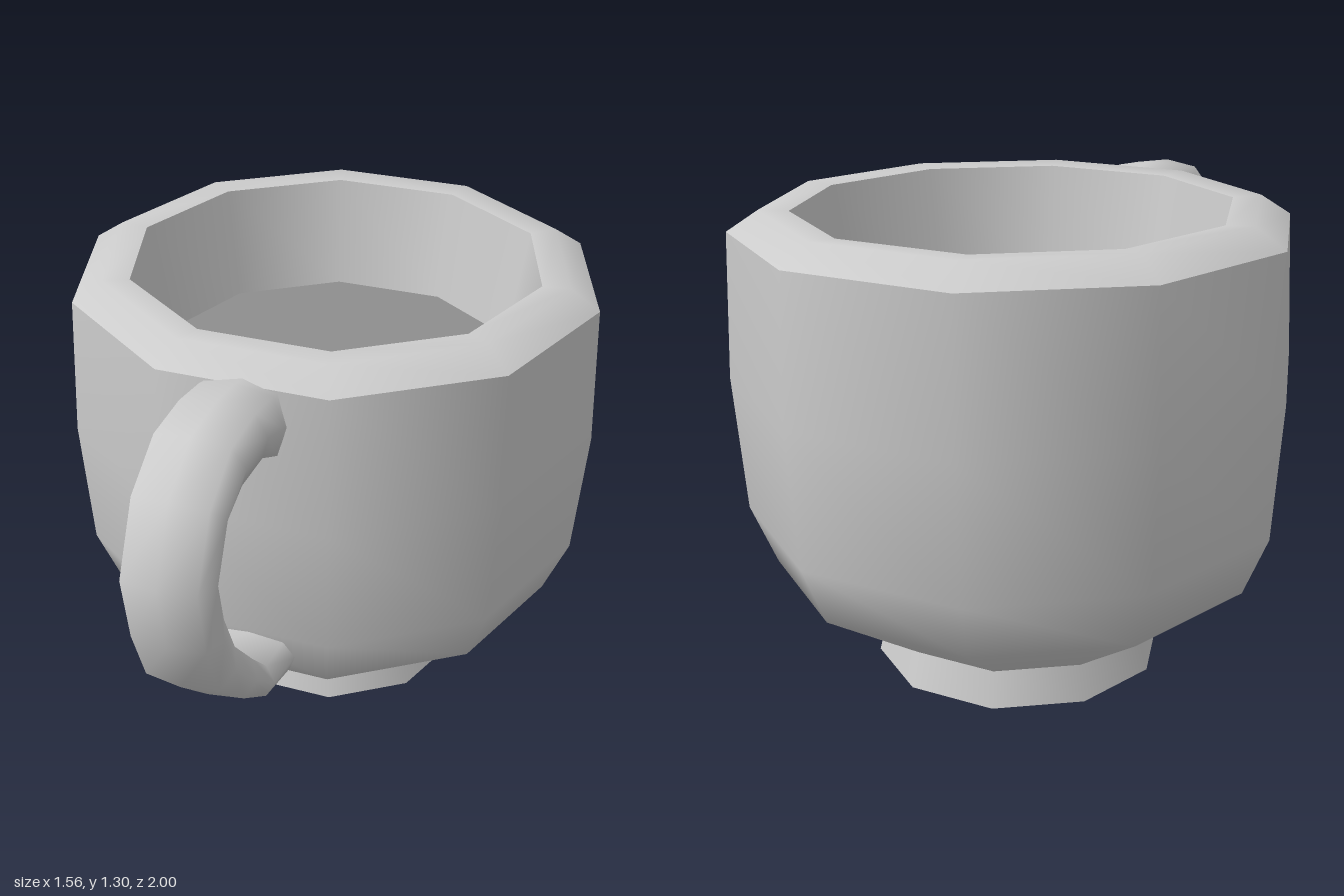
import * as THREE from 'three';

const SIDES = 10;
const CUP_Z = -0.26; // centre of the bowl; the handle reaches forward

export function createModel() {
  const group = new THREE.Group();
  group.name = 'cup';
  const glaze = new THREE.MeshStandardMaterial({ color: 0xcccccc });
  glaze.name = 'light grey glaze';
  const drink = new THREE.MeshStandardMaterial({ color: 0x8e8e8e });
  drink.name = 'dark grey drink';

  const add = (name, geometry, material, y = 0, z = CUP_Z) => {
    const mesh = new THREE.Mesh(geometry, material);
    mesh.name = name;
    mesh.position.set(0, y, z);
    group.add(mesh);
  };
  // Each ring band is its own lathe, so the seams between bands stay sharp
  const band = (name, profile) => add(name, new THREE.LatheGeometry(
    profile.map(([r, y]) => new THREE.Vector2(r, y)), SIDES, Math.PI / 2), glaze);

  band('foot', [[0.41, 0], [0.385, 0.1]]);
  band('bowl', [[0.385, 0.1], [0.685, 0.3], [0.755, 0.47], [0.782, 0.85], [0.765, 1.25]]);
  band('rim', [[0.765, 1.25], [0.68, 1.305], [0.6, 1.3]]);
  band('innerWall', [[0.6, 1.3], [0.545, 0.97]]);

  // Flat discs closing the foot and the inside
  add('footBase', new THREE.CircleGeometry(0.41, SIDES).rotateX(Math.PI / 2), glaze);
  add('drinkSurface', new THREE.CircleGeometry(0.545, SIDES).rotateX(-Math.PI / 2), drink, 0.97);

  add('handle', handleGeometry(), glaze, 0, 0);
  return group;
}

// Flattened eight-sided loop swept between an outer and an inner curve
function handleGeometry() {
  // outer z, outer y, inner z, inner y
  const rings = [
    [0.43, 1.255, 0.43, 1.02], [0.50, 1.27, 0.48, 1.05], [0.62, 1.28, 0.57, 1.10],
    [0.77, 1.265, 0.70, 1.10], [0.91, 1.165, 0.80, 1.06], [1.0, 0.975, 0.86, 0.94],
    [0.965, 0.78, 0.83, 0.81], [0.90, 0.61, 0.77, 0.685], [0.74, 0.46, 0.66, 0.56],
    [0.58, 0.345, 0.57, 0.465], [0.40, 0.30, 0.46, 0.46], [0.34, 0.30, 0.38, 0.44],
  ];
  // x, and share of the way from inner to outer
  const section = [
    [0, 1], [0.1, 0.91], [0.125, 0.5], [0.1, 0.09],
    [0, 0], [-0.1, 0.09], [-0.125, 0.5], [-0.1, 0.91],
  ];
  const n = section.length;
  const positions = [];
  const index = [];
  rings.forEach(([oz, oy, iz, iy], i) => {
    section.forEach(([x, t], j) => {
      positions.push(x, iy + (oy - iy) * t, iz + (oz - iz) * t);
      if (i === rings.length - 1) return;
      const a = i * n + j, b = i * n + (j + 1) % n;
      index.push(a, a + n, b, b, a + n, b + n);
    });
  });
  const geometry = new THREE.BufferGeometry();
  geometry.setAttribute('position', new THREE.Float32BufferAttribute(positions, 3));
  geometry.setIndex(index);
  geometry.computeVertexNormals();
  return geometry;
}
